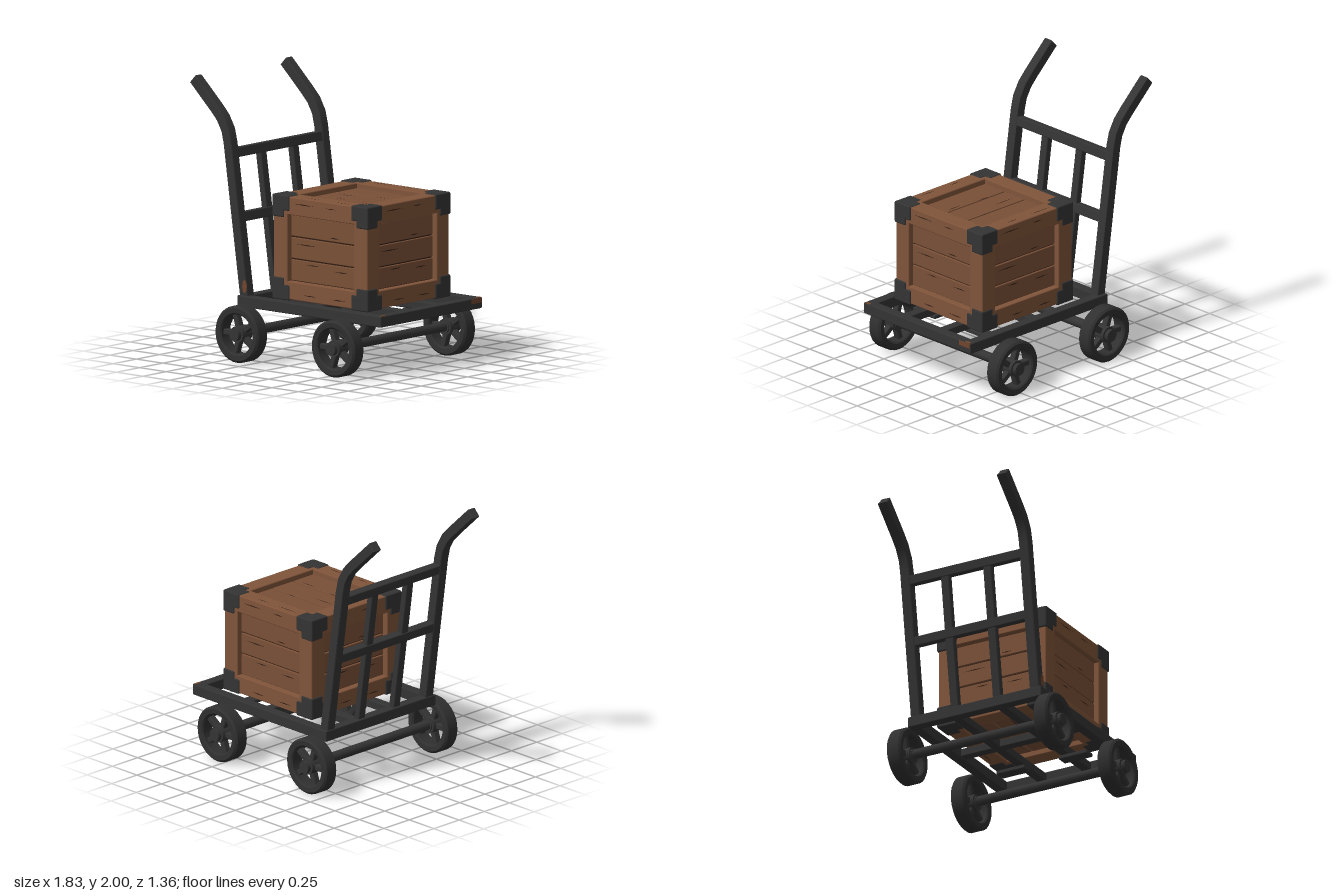
import * as THREE from 'three';
import { toCreasedNormals } from 'three/addons/utils/BufferGeometryUtils.js';
import { RoundedBoxGeometry } from 'three/addons/geometries/RoundedBoxGeometry.js';

const material = (name, color) => {
  const m = new THREE.MeshStandardMaterial({ color });
  m.name = name;
  return m;
};

export function createModel() {
  const model = new THREE.Group();
  model.name = 'crateTrolley';
  const iron = material('dark iron', 0x343434);
  const tyreBlack = material('tyre black', 0x303030);
  const wood = material('wood', 0x80543a);
  const plankWood = material('plank wood', 0x7a5037);
  const gapBrown = material('gap brown', 0x2e1c12);
  const rust = material('rust', 0x70452e);

  const add = (parent, name, geometry, mat, x = 0, y = 0, z = 0) => {
    const mesh = new THREE.Mesh(geometry, mat);
    mesh.name = name;
    mesh.position.set(x, y, z);
    parent.add(mesh);
    return mesh;
  };
  const group = (name, parent = model) => {
    const g = new THREE.Group();
    g.name = name;
    parent.add(g);
    return g;
  };
  const beam = (w, h, d, r = 0.008) => new RoundedBoxGeometry(w, h, d, 1, r);

  // Platform frame
  const frame = group('platformFrame');
  for (const s of [-1, 1]) {
    add(frame, 'sideRail', beam(1.36, 0.08, 0.075), iron, 0.23, 0.43, s * 0.508);
    add(frame, 'innerRail', beam(1.26, 0.06, 0.07), iron, 0.23, 0.43, s * 0.183);
    add(frame, 'underPlate', beam(0.09, 0.03, 0.23), iron, 0.55, 0.382, s * 0.255);
  }
  add(frame, 'endRail', beam(0.075, 0.08, 1.08), iron, 0.872, 0.43, 0);
  add(frame, 'rearRail', beam(0.075, 0.08, 1.08), iron, -0.412, 0.43, 0);
  add(frame, 'middleRail', beam(0.07, 0.06, 1), iron, 0.213, 0.43, 0);

  // Wheels and axles
  const tyreProfile = [
    [0.145, -0.045], [0.155, -0.055], [0.19, -0.058], [0.205, -0.044],
    [0.205, 0.044], [0.19, 0.058], [0.155, 0.055], [0.145, 0.045], [0.145, -0.045],
  ].map(([x, y]) => new THREE.Vector2(x, y));
  const tyre = toCreasedNormals(new THREE.LatheGeometry(tyreProfile, 32), 0.6).rotateX(Math.PI / 2);
  const hub = new THREE.CylinderGeometry(0.06, 0.06, 0.1, 16).rotateX(Math.PI / 2);
  const cap = new THREE.CylinderGeometry(0.045, 0.045, 0.14, 12).rotateX(Math.PI / 2);
  const spoke = beam(0.11, 0.042, 0.05).translate(0.1, 0, 0);
  const axle = new THREE.CylinderGeometry(0.035, 0.035, 1.2, 12).rotateX(Math.PI / 2);
  for (const x of [-0.36, 0.55]) {
    add(model, 'axle', axle, iron, x, 0.215, 0);
    for (const s of [-1, 1]) {
      const wheel = group('wheel');
      wheel.position.set(x, 0.21, s * 0.6);
      add(wheel, 'tyre', tyre, tyreBlack);
      add(wheel, 'hub', hub, iron);
      add(wheel, 'hubCap', cap, iron, 0, 0, s * 0.01);
      for (let i = 0; i < 5; i++) {
        add(wheel, 'spoke', spoke, iron).rotation.z = Math.PI + i * Math.PI * 0.4;
      }
    }
  }

  // Bent handles: a centre line widened to both sides, then extruded
  const line = [[-0.402, 0.44], [-0.561, 1.55], [-0.583, 1.64], [-0.63, 1.722], [-0.69, 1.785], [-0.89, 1.975]]
    .map(([x, y]) => new THREE.Vector2(x, y));
  const side = (k) => line.map((p, i) => {
    const a = line[Math.max(i - 1, 0)], b = line[Math.min(i + 1, line.length - 1)];
    const t = b.clone().sub(a).normalize();
    return new THREE.Vector2(p.x + t.y * k, p.y - t.x * k);
  });
  const handleShape = new THREE.Shape([...side(0.037), ...side(-0.037).reverse()]);
  const handleGeometry = toCreasedNormals(new THREE.ExtrudeGeometry(handleShape, {
    depth: 0.06, bevelEnabled: true, bevelThickness: 0.007, bevelSize: 0.004, bevelOffset: -0.004, bevelSegments: 1,
  }).translate(0, 0, -0.03), 0.5);
  const back = group('handleBack');
  for (const s of [-1, 1]) {
    add(back, 'handle', handleGeometry, iron, 0, 0, s * 0.487);
    // Upright bar leaning with the handles
    const upright = add(back, 'upright', beam(0.05, 1.04, 0.065), iron, -0.478, 0.96, s * 0.173);
    upright.rotation.z = 0.142;
  }
  for (const [x, y] of [[-0.55, 1.475], [-0.486, 1.02]]) {
    add(back, 'crossbar', beam(0.065, 0.07, 0.94), iron, x, y, 0).rotation.z = 0.142;
  }

  // Crate, built round its own centre
  const crate = group('crate');
  crate.position.set(0.247, 0.84, 0);
  const W = 0.885, H = 0.74, D = 0.88, B = 0.13;
  add(crate, 'crateCore', new THREE.BoxGeometry(W - 0.1, H - 0.1, D - 0.1), gapBrown);
  for (const a of [-1, 1]) {
    for (const b of [-1, 1]) {
      add(crate, 'crateRail', beam(W, B, B), wood, 0, a * (H - B) / 2, b * (D - B) / 2);
      add(crate, 'cratePost', beam(B, H, B), wood, a * (W - B) / 2, 0, b * (D - B) / 2);
      add(crate, 'crateSideRail', beam(B, B, D), wood, a * (W - B) / 2, b * (H - B) / 2, 0);
    }
  }

  // Planks and grain marks on each face: width, height, distance of face, rotation
  const faces = [
    [W, H, D, 0, 0], [W, H, D, 0, Math.PI], [D, H, W, 0, Math.PI / 2], [D, H, W, 0, -Math.PI / 2],
    [W, D, H, -Math.PI / 2, 0], [W, D, H, Math.PI / 2, 0],
  ];
  const marks = [[-0.16, 0.03, 0.2], [0.1, 0.11, 0.1], [0.17, -0.13, 0.14], [-0.1, -0.11, 0.12]];
  for (const [w, h, d, rx, ry] of faces) {
    const panel = group('cratePanel', crate);
    panel.rotation.set(rx, ry, 0);
    const pw = w - 2 * B, ph = (h - 2 * B) / 3;
    for (let i = -1; i <= 1; i++) {
      add(panel, 'plank', beam(pw - 0.008, ph - 0.01, 0.04, 0.005), plankWood, 0, i * ph, d / 2 - 0.055);
    }
    for (const [x, y, len] of marks) {
      const grain = new THREE.Shape([[-len / 2, 0], [0, -0.004], [len / 2, 0], [0, 0.004]]
        .map(([u, v]) => new THREE.Vector2(u, v)));
      add(panel, 'grainMark', new THREE.ShapeGeometry(grain), gapBrown, x, y, d / 2 - 0.034);
      add(panel, 'railGrain', new THREE.ShapeGeometry(grain), gapBrown, x, Math.sign(y) * (h / 2 - 0.045), d / 2 + 0.001);
    }
  }

  // Iron corner caps: three short arms along the edges
  const L = 0.16, S = 0.11;
  for (const sx of [-1, 1]) for (const sy of [-1, 1]) for (const sz of [-1, 1]) {
    const corner = group('cornerCap', crate);
    for (const [a, b, c] of [[L, S, S], [S, L, S], [S, S, L]]) {
      add(corner, 'capArm', beam(a, b, c, 0.01), iron,
        sx * (W / 2 + 0.01 - a / 2), sy * (H / 2 + 0.007 - b / 2), sz * (D / 2 + 0.008 - c / 2));
    }
  }

  // Rust patches on the frame and handle foot
  add(model, 'rustPatch', new THREE.BoxGeometry(0.004, 0.035, 0.11), rust, 0.909, 0.45, -0.485);
  for (const s of [-1, 1]) add(model, 'rustEdge', new THREE.BoxGeometry(0.02, 0.004, 0.05), rust, 0.895, 0.47, s * 0.51);
  const patch = new THREE.CircleGeometry(0.025, 8).scale(0.9, 2, 1);
  add(model, 'rustSpot', patch, rust, -0.395, 0.535, 0.526);
  return model;
}
